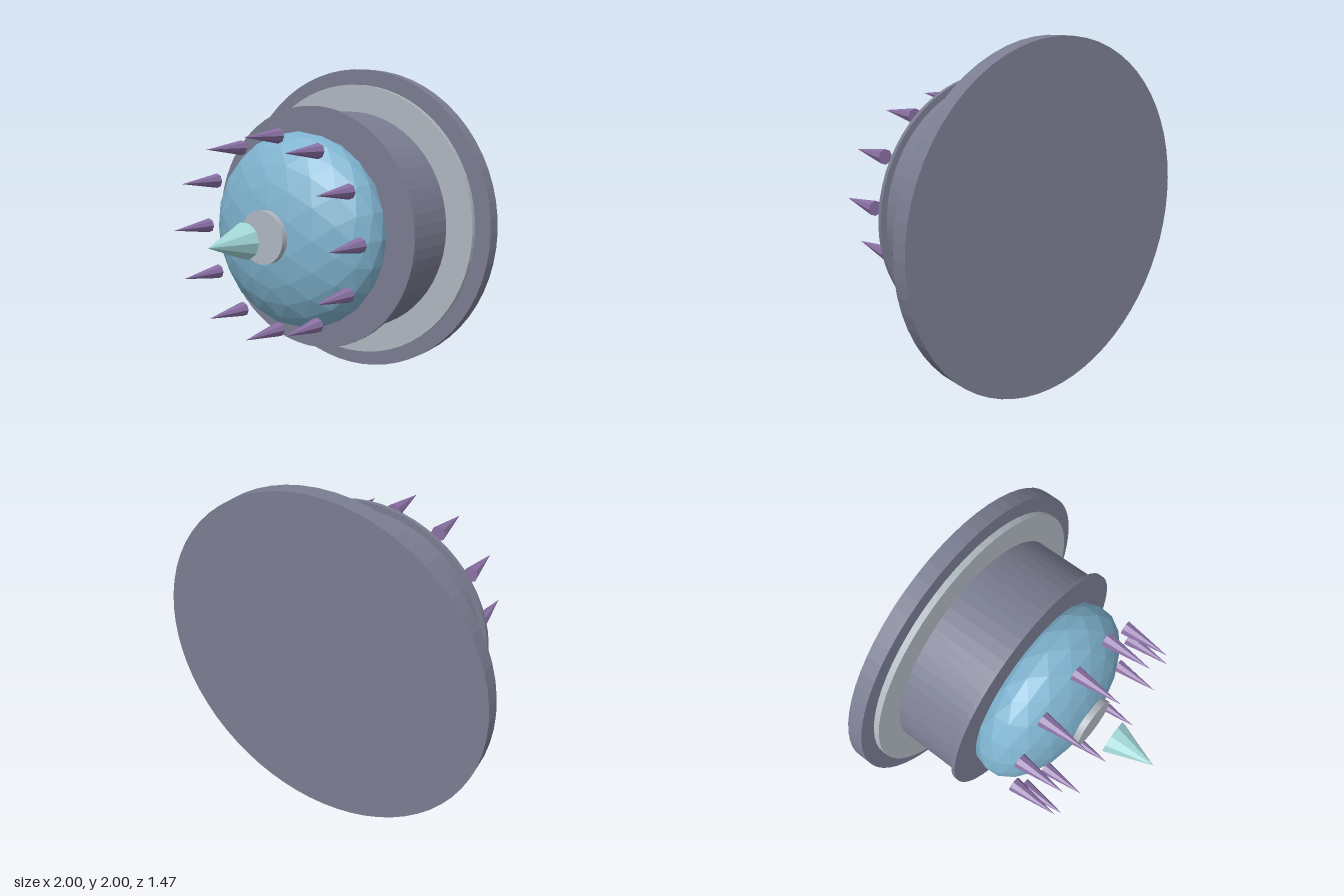
import * as THREE from 'three';

const mat = (name, color) => {
  const m = new THREE.MeshStandardMaterial({ color, flatShading: true });
  m.name = name;
  return m;
};

export function createModel() {
  const model = new THREE.Group();
  model.name = 'spikedDome';
  const slate = mat('slate metal', 0x7b7d92);
  const silver = mat('pale silver', 0xb0b8c0);
  const blue = mat('dome blue', 0x7fb3cf);
  const purple = mat('spike purple', 0x8a70a4);
  const aqua = mat('tip aqua', 0xa0d4d4);

  const add = (name, geometry, material, x = 0, y = 1, z = 0) => {
    const mesh = new THREE.Mesh(geometry, material);
    mesh.name = name;
    mesh.position.set(x, y, z);
    model.add(mesh);
    return mesh;
  };

  // Disc lying along z, from zBack to zFront
  const disc = (name, radius, zBack, zFront, material) =>
    add(name, new THREE.CylinderGeometry(radius, radius, zFront - zBack, 64).rotateX(Math.PI / 2),
      material, 0, 1, (zBack + zFront) / 2);

  // Cone pointing forward
  const cone = (name, radius, sides, zBase, zTip, turn, material, x = 0, y = 1) =>
    add(name, new THREE.ConeGeometry(radius, zTip - zBase, sides).rotateY(turn).rotateX(Math.PI / 2),
      material, x, y, (zBase + zTip) / 2);

  // Stepped base
  disc('backPlate', 1, -0.735, -0.637, slate);
  disc('paleRing', 0.9, -0.637, -0.6, silver);
  disc('drum', 0.725, -0.6, -0.18, slate);
  disc('drumLip', 0.762, -0.18, -0.155, slate);

  // Faceted, flattened dome with its central boss
  add('dome', new THREE.IcosahedronGeometry(0.61, 3).scale(1, 1, 0.525), blue, 0, 1, -0.05);
  disc('boss', 0.16, 0.2, 0.297, silver);

  // Floating tip and ring of spikes
  cone('centreTip', 0.11, 10, 0.44, 0.735, Math.PI / 2, aqua);
  for (let i = 0; i < 12; i++) {
    const a = (i / 12) * Math.PI * 2;
    cone('spike' + (i + 1), 0.046, 8, 0.14, 0.44, 0, purple,
      Math.cos(a) * 0.587, 1 + Math.sin(a) * 0.587);
  }
  return model;
}
